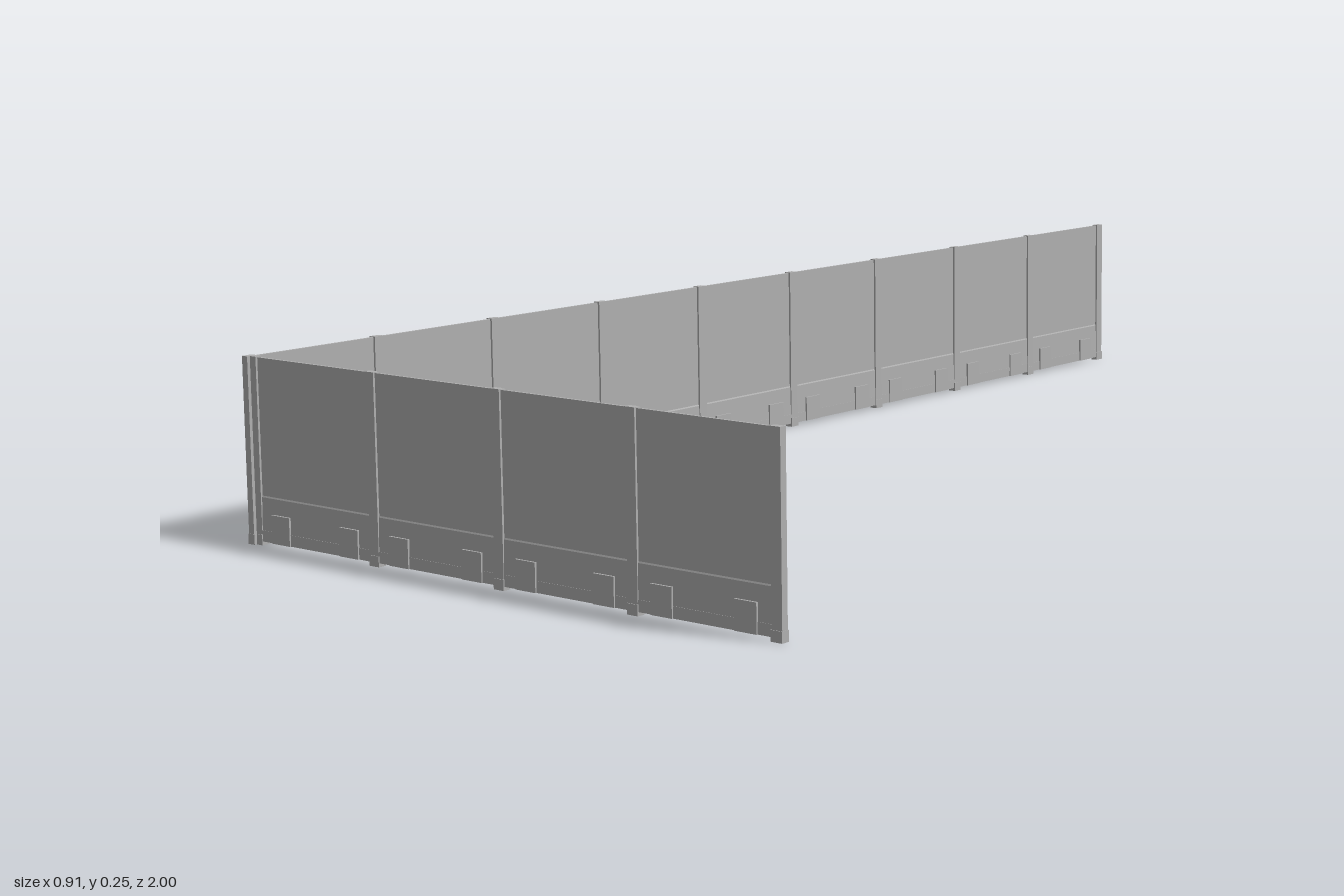
import * as THREE from 'three';

const HEIGHT = 0.25;

export function createModel() {
  const grey = new THREE.MeshStandardMaterial({ color: 0xb0b0b0 });
  grey.name = 'panelGrey';

  const box = (name, w, h, d, x, y, z = 0) => {
    const mesh = new THREE.Mesh(new THREE.BoxGeometry(w, h, d), grey);
    mesh.name = name;
    mesh.position.set(x, y, z);
    return mesh;
  };

  // Cross-section of a panel: thin sheet with a flared skirt at the foot
  const half = [[0.0045, 0.005], [0.0045, 0.02], [0.004, 0.02], [0.003, 0.064], [0.002, 0.066], [0.002, HEIGHT - 0.001]];
  const profile = new THREE.Shape([
    ...half.map(([x, y]) => new THREE.Vector2(x, y)),
    ...half.slice().reverse().map(([x, y]) => new THREE.Vector2(-x, y)),
  ]);

  // A straight run of panels along x, with posts between them
  function fence(name, count, length) {
    const run = new THREE.Group();
    run.name = name;
    const step = length / count;

    const sheet = new THREE.Mesh(
      new THREE.ExtrudeGeometry(profile, { depth: length, bevelEnabled: false, steps: count }), grey);
    sheet.name = 'panels';
    sheet.rotation.y = Math.PI / 2;
    sheet.position.x = -length / 2;
    run.add(sheet);

    for (let i = 0; i <= count; i++) {
      const x = -length / 2 + i * step;
      run.add(box('post', 0.016, HEIGHT, 0.01, x, HEIGHT / 2));
      // Post foot
      run.add(box('postFoot', 0.017, 0.014, 0.012, x, 0.007));
      // Clamp blocks on either side of each post
      for (const side of [-1, 1]) {
        const cx = x + side * 0.046;
        if (Math.abs(cx) < length / 2)
          run.add(box('clampBlock', 0.034, 0.038, 0.013, cx, 0.024));
      }
    }
    return run;
  }

  const model = new THREE.Group();
  model.name = 'fenceCorner';

  const front = fence('frontFence', 4, 0.886);
  front.position.set(0.003, 0, 0.99);

  const side = fence('sideFence', 9, 1.983);
  side.rotation.y = Math.PI / 2;
  side.position.set(-0.448, 0, 0);

  model.add(front, side);
  return model;
}
